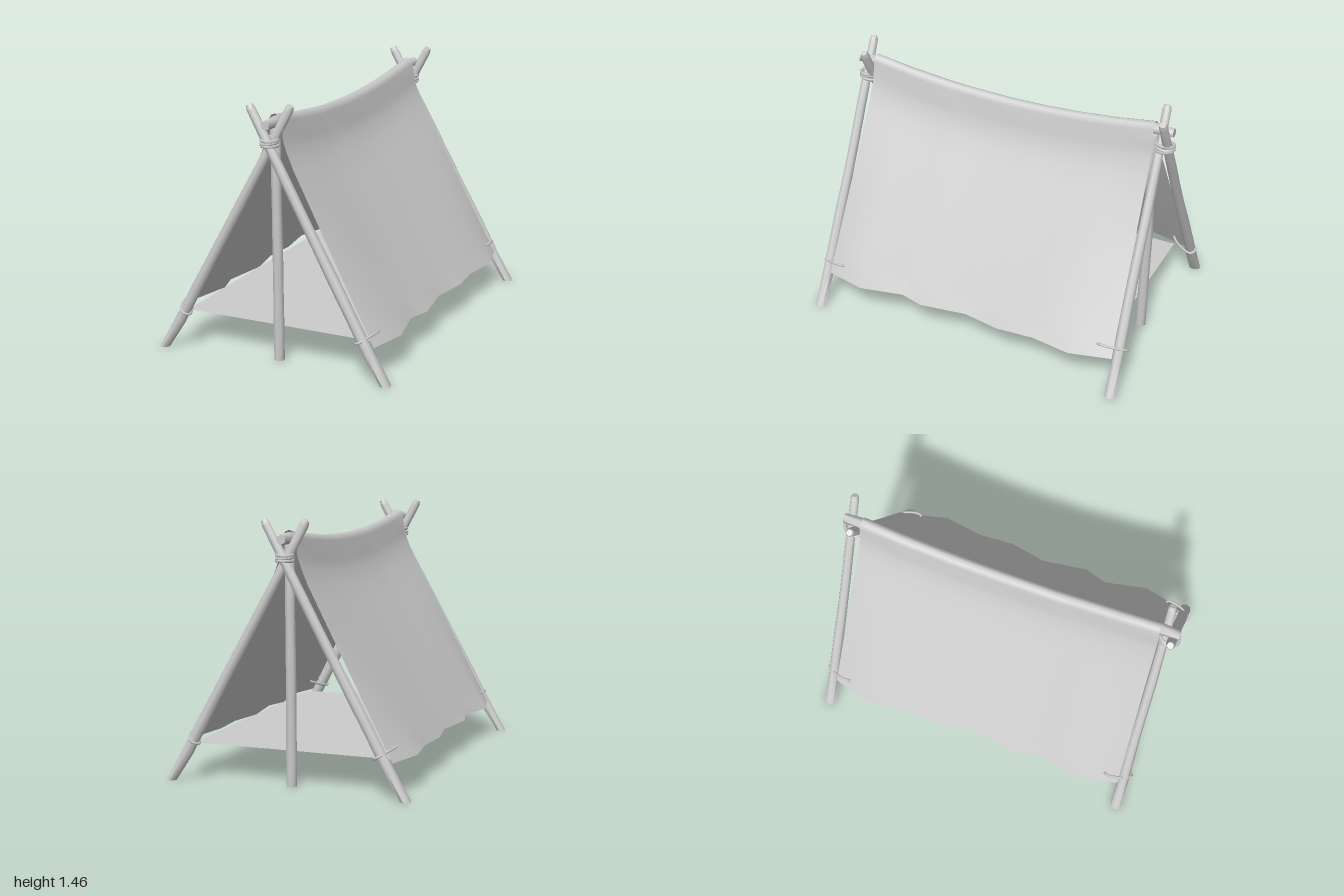
import * as THREE from 'three';
import { toCreasedNormals } from 'three/addons/utils/BufferGeometryUtils.js';

const grey = new THREE.MeshStandardMaterial({ color: 0xcccccc });
const sheet = new THREE.MeshStandardMaterial({ color: 0xcccccc, side: THREE.DoubleSide });
const V = (x, y, z) => new THREE.Vector3(x, y, z);

function add(parent, name, geometry, material = grey) {
  const mesh = new THREE.Mesh(geometry, material);
  mesh.name = name;
  parent.add(mesh);
  return mesh;
}

// Slightly crooked, tapered wooden pole with a trimmed tip, cut level at the ground
function poleGeometry(from, to, r0, r1, seed) {
  const rings = 8, geo = new THREE.CylinderGeometry(1, 1, 1, 8, rings);
  const dir = to.clone().sub(from), len = dir.length();
  const turn = new THREE.Quaternion().setFromUnitVectors(V(0, 1, 0), dir.normalize());
  const pos = geo.attributes.position, p = V(0, 0, 0);
  for (let i = 0; i < pos.count; i++) {
    p.fromBufferAttribute(pos, i);
    const ring = Math.round((p.y + 0.5) * rings);
    const t = ring === rings - 1 ? 0.985 : ring / rings;
    let r = THREE.MathUtils.lerp(r0, r1, t) * (1 + 0.03 * Math.sin(ring * 2.3 + seed));
    if (ring === rings) r *= 0.7;
    const bend = 0.003 * Math.sin(t * Math.PI * 2 + seed) * Math.sin(t * Math.PI);
    p.set(p.x * r + bend, t * len, p.z * r + bend).applyQuaternion(turn).add(from);
    pos.setXYZ(i, p.x, Math.max(0, p.y), p.z);
  }
  return toCreasedNormals(geo, 0.8);
}

const ropeGeometry = (points, radius) =>
  new THREE.TubeGeometry(new THREE.CatmullRomCurve3(points, true), 36, radius, 6, true);

// Crossed legs, upright and lashings of one end
function createEndFrame() {
  const end = new THREE.Group();
  add(end, 'leftLeg', poleGeometry(V(0.683, -0.02, 0.948), V(-0.11, 1.455, 0.96), 0.034, 0.026, 1));
  add(end, 'rightLeg', poleGeometry(V(-0.683, -0.02, 0.955), V(0.11, 1.455, 0.903), 0.034, 0.026, 3));
  add(end, 'upright', poleGeometry(V(0, 0, 0.86), V(0, 1.34, 0.875), 0.031, 0.028, 5));

  // Three turns of rope where the legs cross
  for (let k = 0; k < 3; k++) {
    const ring = [];
    for (let i = 0; i < 12; i++) {
      const a = (i / 12) * Math.PI * 2;
      ring.push(V(0.042 * Math.cos(a), 1.24 + k * 0.017 + 0.004 * Math.sin(a + k * 2), 0.94 + 0.052 * Math.sin(a)));
    }
    add(end, 'topLashing', ropeGeometry(ring, 0.009));
  }

  // Slanted loops tying the cloth corners to the legs: [x, z]
  const loop = [[0.59, 0.83], [0.595, 0.86], [0.575, 0.94], [0.54, 0.988], [0.515, 0.965], [0.55, 0.87]];
  for (const side of [-1, 1]) {
    const points = loop.map(([x, z]) => V(side * x, 0.24 + (x - 0.555) * 0.6, z));
    add(end, 'cornerLashing', ropeGeometry(points, 0.0075));
  }
  return end;
}

// Height of the sagging ridge line of the cloth
const ridgeTop = (z) => 1.325 + 0.075 * Math.min(1, (z / 0.88) ** 2);

// Width of the scalloped hem along its length: [z, x]
const hem = [[-0.92, 0.6], [-0.68, 0.66], [-0.44, 0.625], [-0.22, 0.64], [0, 0.6], [0.28, 0.64], [0.42, 0.6], [0.68, 0.655], [0.92, 0.6]];
// Half section over the ridge, steep at first: [x, depth below ridge]
const crown = [[0, 0], [0.02, 0.008], [0.038, 0.036], [0.05, 0.14], [0.075, 0.21], [0.11, 0.29]];

// Cloth draped over the ridge: one cross-section for each point of the hem
function clothGeometry() {
  const slopeSteps = 8, pos = [], index = [];
  for (const [z, width] of hem) {
    const w = z / 0.92, top = ridgeTop(w * 0.88);
    const half = crown.map(([x, depth]) => [x, top - depth]);
    const [kneeX, kneeY] = half[half.length - 1];
    for (let i = 1; i <= slopeSteps; i++) {
      const t = i / slopeSteps;
      half.push([THREE.MathUtils.lerp(kneeX, width, t), THREE.MathUtils.lerp(kneeY, 0.19, t)]);
    }
    const mirrored = half.slice(1).reverse().map(([x, y]) => [-x, y]);
    for (const [x, y] of [...mirrored, ...half]) {
      pos.push(x, y, w * THREE.MathUtils.mapLinear(y, 0.19, top, 0.92, 0.88));
    }
  }
  const cols = pos.length / 3 / hem.length;
  for (let j = 0; j < hem.length - 1; j++) {
    for (let i = 0; i < cols - 1; i++) {
      const a = j * cols + i, b = a + cols;
      index.push(a, b, a + 1, b, b + 1, a + 1);
    }
  }
  const geo = new THREE.BufferGeometry();
  geo.setAttribute('position', new THREE.Float32BufferAttribute(pos, 3));
  geo.setIndex(index);
  geo.computeVertexNormals();
  return geo;
}

// Ridge pole that follows the sag of the cloth
function ridgeGeometry() {
  const geo = new THREE.CylinderGeometry(0.034, 0.034, 1.98, 6, 18);
  geo.rotateX(Math.PI / 2);
  const pos = geo.attributes.position;
  for (let i = 0; i < pos.count; i++) {
    const z = pos.getZ(i), trim = Math.abs(z) > 0.98 ? 0.8 : 1;
    pos.setXYZ(i, pos.getX(i) * trim, pos.getY(i) * trim + ridgeTop(z) - 0.044, z);
  }
  return toCreasedNormals(geo, 1.1);
}

export function createModel() {
  const tent = new THREE.Group();
  tent.name = 'tent';

  const front = createEndFrame();
  front.name = 'frontFrame';
  const back = createEndFrame();
  back.name = 'backFrame';
  back.rotation.y = Math.PI;
  tent.add(front, back);

  add(tent, 'ridgePole', ridgeGeometry());
  add(tent, 'cloth', clothGeometry(), sheet);

  // Flat ground sheet stretched between the hems
  const floor = add(tent, 'groundSheet', new THREE.PlaneGeometry(1.2, 1.66), sheet);
  floor.rotation.x = -Math.PI / 2;
  floor.position.y = 0.19;
  return tent;
}
